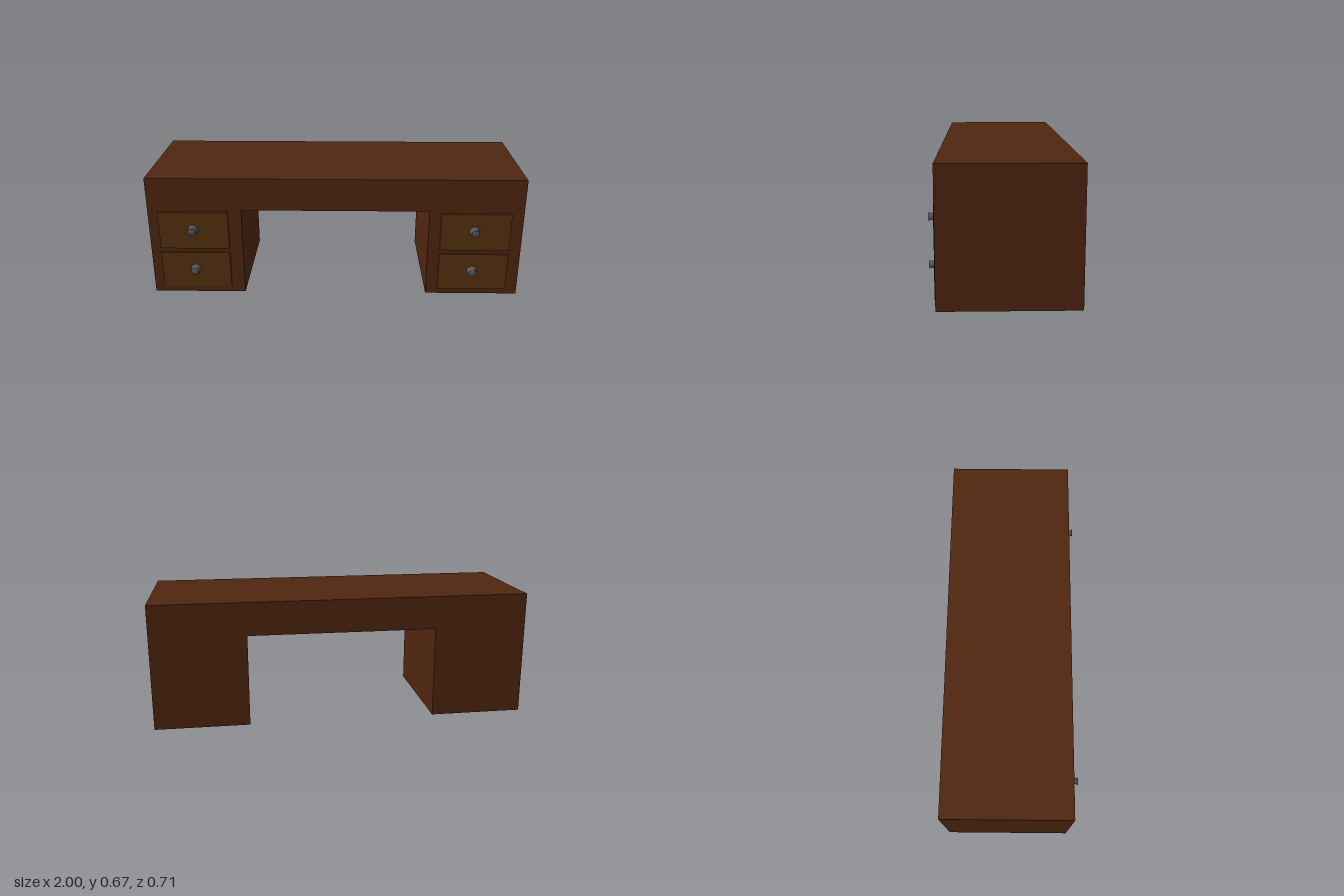
import * as THREE from 'three';

const BACK = -0.353, FRONT = 0.312, PANEL = 0.319;

function addMesh(parent, name, geometry, material, x = 0, y = 0, z = 0) {
  const mesh = new THREE.Mesh(geometry, material);
  mesh.name = name;
  mesh.position.set(x, y, z);
  parent.add(mesh);
  return mesh;
}

// Thin panel whose front rim is chamfered inward
function chamferedPanel(w, h, d, inset) {
  const geometry = new THREE.BoxGeometry(w, h, d);
  const p = geometry.attributes.position;
  for (let i = 0; i < p.count; i++) {
    if (p.getZ(i) > 0) {
      p.setX(i, p.getX(i) - Math.sign(p.getX(i)) * inset);
      p.setY(i, p.getY(i) - Math.sign(p.getY(i)) * inset);
    }
  }
  geometry.computeVertexNormals();
  return geometry;
}

export function createModel() {
  const desk = new THREE.Group();
  desk.name = 'desk';
  const wood = new THREE.MeshStandardMaterial({ color: 0x4f2610 });
  const drawerWood = new THREE.MeshStandardMaterial({ color: 0x573211 });
  const metal = new THREE.MeshStandardMaterial({ color: 0x555555 });

  // Body: one slab with two pedestals around the knee space
  const outline = new THREE.Shape([
    [-1, 0], [-0.5, 0], [-0.5, 0.49], [0.5, 0.49],
    [0.5, 0], [1, 0], [1, 0.667], [-1, 0.667],
  ].map(([x, y]) => new THREE.Vector2(x, y)));
  const body = new THREE.ExtrudeGeometry(outline, { depth: FRONT - BACK, bevelEnabled: false });
  addMesh(desk, 'body', body, wood, 0, 0, BACK);

  // Knob profile: flared base, narrow neck, flared flat head
  const knob = new THREE.LatheGeometry([
    [0.028, -0.003], [0.028, 0], [0.015, 0.021], [0.021, 0.035], [0, 0.035],
  ].map(([r, y]) => new THREE.Vector2(r, y)), 20);
  knob.rotateX(Math.PI / 2);

  // Drawers: two stacked on each pedestal
  const panel = chamferedPanel(0.382, 0.22, 0.02, 0.005);
  for (const [side, x, knobX] of [['right', -0.76, -0.762], ['left', 0.75, 0.745]]) {
    for (const [level, y, knobY] of [['lower', 0.137, 0.144], ['upper', 0.372, 0.378]]) {
      const drawer = new THREE.Group();
      drawer.name = `${side} ${level} drawer`;
      addMesh(drawer, 'drawerFront', panel, drawerWood, x, y, PANEL - 0.01);
      addMesh(drawer, 'knob', knob, metal, knobX, knobY, PANEL);
      desk.add(drawer);
    }
  }
  return desk;
}
